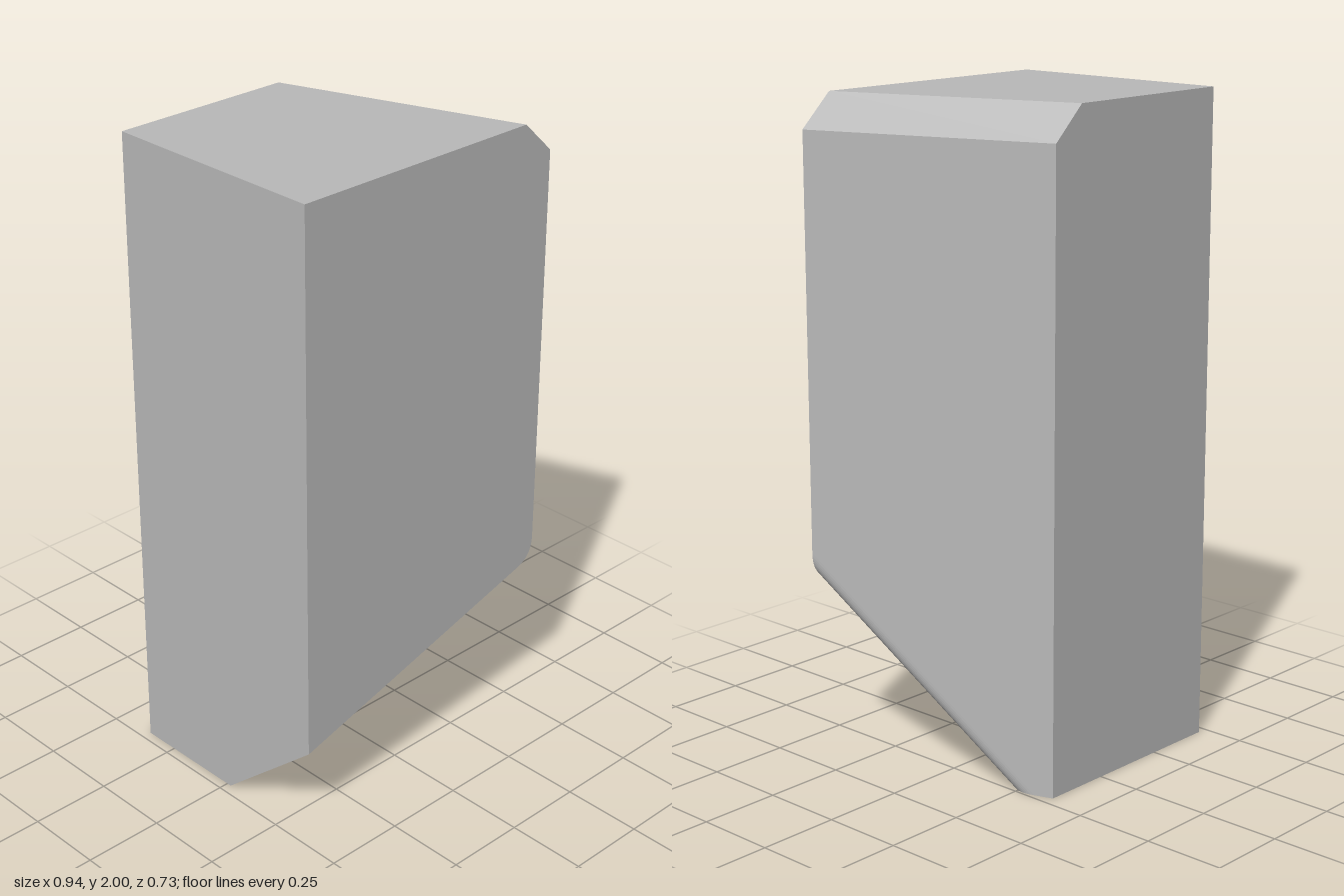
import * as THREE from 'three';
import { ConvexGeometry } from 'three/addons/geometries/ConvexGeometry.js';

const LEFT = -0.47, FRONT = 0.365, BACK = -0.365, TOP = 2;

// x of the slanted side wall at depth z
const sideX = (z) => 0.215 + 0.349 * (z - BACK);
// height of the sloping underside
const slopeY = (x, z) => 0.3 + 0.295 * (x - LEFT) + 0.857 * (z - FRONT);

export function createModel() {
  const group = new THREE.Group();
  group.name = 'taperedBlock';
  const grey = new THREE.MeshStandardMaterial({ color: 0xb8b8b8 });
  grey.name = 'plain grey';

  const points = [];
  const add = (x, y, z) => points.push(new THREE.Vector3(x, y, z));

  // Top face and the chamfer along the slanted side
  for (const z of [FRONT, BACK]) {
    add(LEFT, TOP, z);
    add(sideX(z) - 0.105, TOP, z);
    add(sideX(z), 1.9, z);
  }

  // Flat foot and the lower edge of the left wall
  add(LEFT, 0, BACK);
  add(sideX(BACK), 0, BACK);
  add(LEFT, 0, FRONT - 0.3 / 0.857);
  add(LEFT, 0.3, FRONT);

  // Rounded edge between slope and side wall, swept from the front down to the foot
  const cornerX = sideX(FRONT), cornerY = slopeY(cornerX, FRONT);
  const run = cornerY / (0.295 * 0.349 + 0.857);
  const sweep = new THREE.Vector3(-0.349 * run, -cornerY, -run);
  const round = new THREE.QuadraticBezierCurve3(
    new THREE.Vector3(cornerX - 0.063, slopeY(cornerX - 0.063, FRONT), FRONT),
    new THREE.Vector3(cornerX, cornerY, FRONT),
    new THREE.Vector3(cornerX, cornerY + 0.07, FRONT)
  );
  for (const p of round.getPoints(14)) {
    points.push(p, p.clone().addScaledVector(sweep, p.y / cornerY));
  }

  const block = new THREE.Mesh(new ConvexGeometry(points), grey);
  block.name = 'block';
  group.add(block);
  return group;
}
